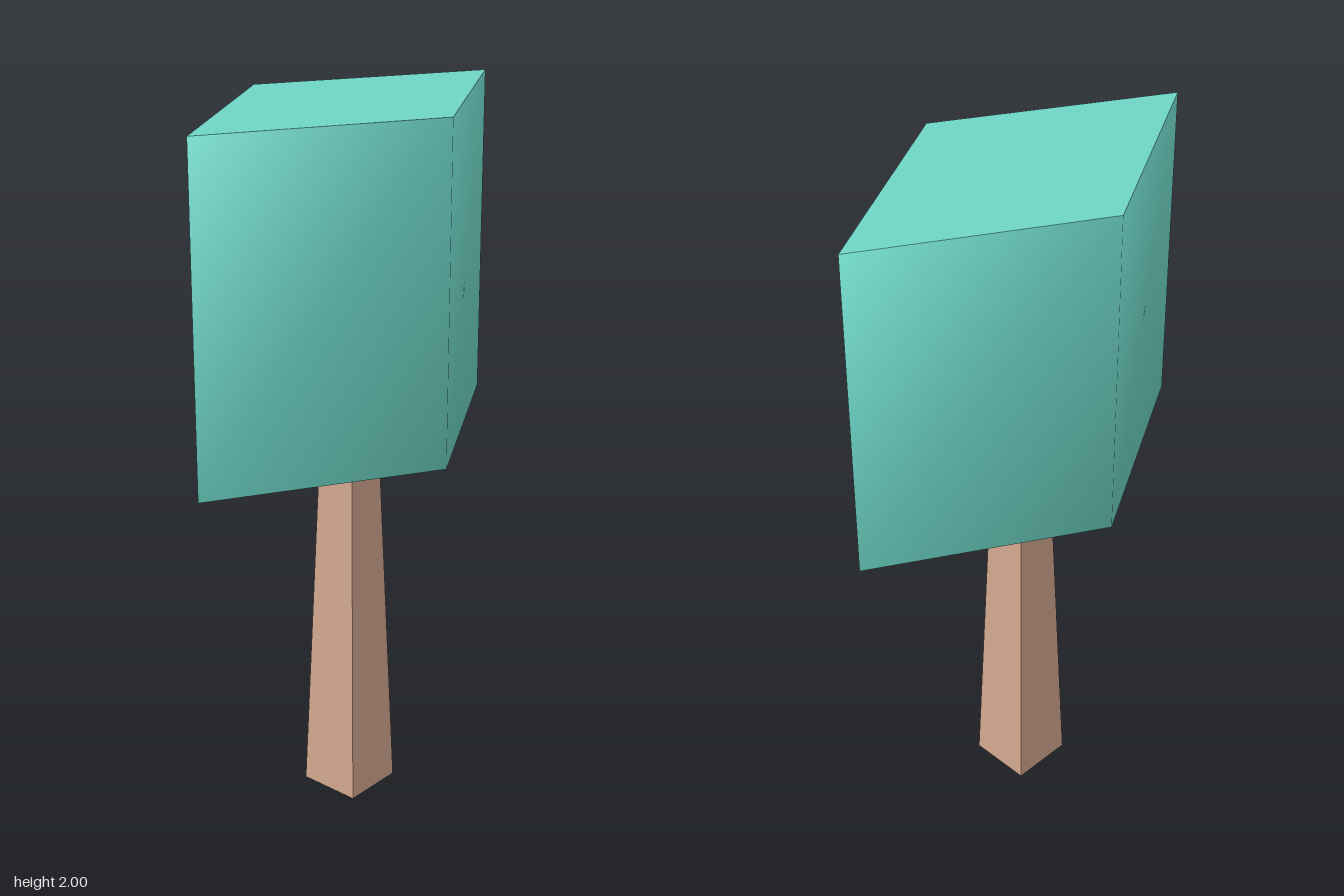
import * as THREE from 'three';

export function createModel() {
  const group = new THREE.Group();
  const leafTeal = new THREE.MeshStandardMaterial({ color: 0x6ed6c7, side: THREE.DoubleSide });
  const barkTan = new THREE.MeshStandardMaterial({ color: 0xd2a78e, side: THREE.DoubleSide, flatShading: true });

  const add = (name, geometry, material) => {
    const mesh = new THREE.Mesh(geometry, material);
    mesh.name = name;
    group.add(mesh);
  };

  const bottom = 1.07, top = 2, height = top - bottom;
  const halfX = 0.582, halfZ = 0.335;

  // Canopy walls: an open diamond prism, slightly flared at the bottom
  const walls = new THREE.CylinderGeometry(1, 1.007, height, 4, 1, true);
  walls.scale(halfX, 1, halfZ).translate(0, bottom + height / 2, 0);
  // Soft normals that lean outwards at the upper and lower rims
  const pos = walls.attributes.position, nor = walls.attributes.normal;
  const n = new THREE.Vector3();
  for (let i = 0; i < pos.count; i++) {
    n.fromBufferAttribute(nor, i).setY(pos.getY(i) > 1.5 ? 0.4 : -0.4).normalize();
    nor.setXYZ(i, n.x, n.y, n.z);
  }
  add('canopyWalls', walls, leafTeal);

  // Flat diamond lid
  const lid = new THREE.CircleGeometry(1, 4);
  lid.rotateX(-Math.PI / 2).scale(halfX, 1, halfZ).translate(0, top, 0);
  add('canopyTop', lid, leafTeal);

  // Tapered square trunk, open at both ends
  const trunk = new THREE.CylinderGeometry(0.057 * Math.SQRT2, 0.0915 * Math.SQRT2, bottom, 4, 1, true);
  trunk.rotateY(Math.PI / 4).translate(-0.004, bottom / 2, 0.004);
  add('trunk', trunk, barkTan);

  return group;
}
